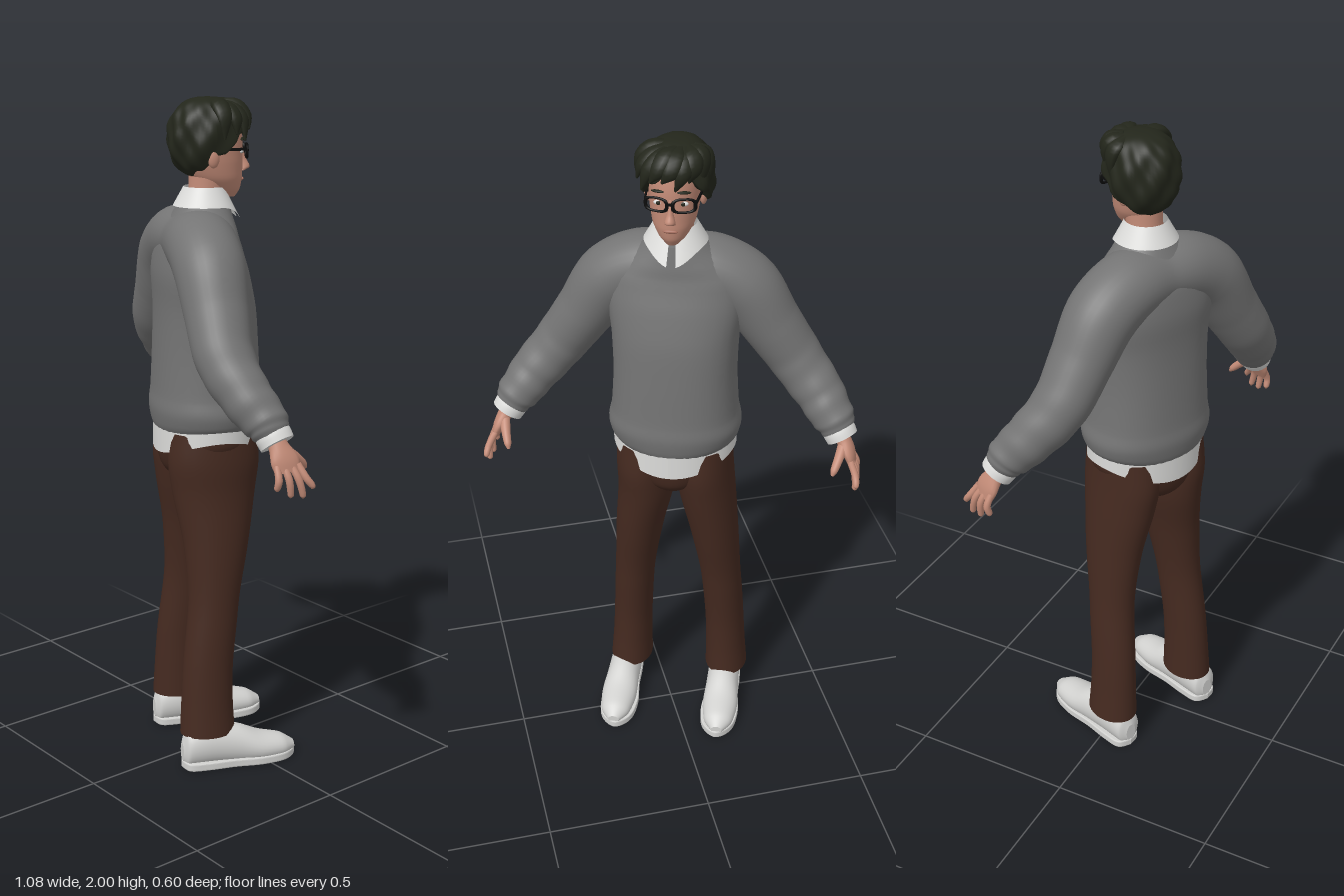
import * as THREE from 'three';

const mat = (name, color, extra = {}) => Object.assign(new THREE.MeshStandardMaterial({ color, ...extra }), { name });
const D = { side: THREE.DoubleSide };

// Smooth body swept along [x, y, z, ru, rw] stations; u follows hint, w is the cross direction.
function sweep(path, { hint = [1, 0, 0], up = null, seg = 24, n = 28, warp = null } = {}) {
  const centre = new THREE.CatmullRomCurve3(path.map(p => new THREE.Vector3(p[0], p[1], p[2])));
  const radius = new THREE.CatmullRomCurve3(path.map(p => new THREE.Vector3(p[3], p[4], 0)));
  const pos = [], idx = [], rings = [];
  for (let i = 0; i <= seg; i++) {
    const c = centre.getPoint(i / seg), r = radius.getPoint(i / seg);
    const t = up ? new THREE.Vector3(...up) : centre.getTangent(i / seg);
    const u = new THREE.Vector3(...hint);
    u.addScaledVector(t, -u.dot(t)).normalize();
    const w = new THREE.Vector3().crossVectors(t, u);
    const ring = [];
    for (let j = 0; j < n; j++) {
      const a = j / n * Math.PI * 2;
      const p = c.clone().addScaledVector(u, r.x * Math.cos(a)).addScaledVector(w, r.y * Math.sin(a));
      if (warp) warp(p, i / seg, c, a);
      ring.push(p);
      pos.push(p.x, p.y, p.z);
    }
    rings.push(ring);
  }
  for (let i = 0; i < seg; i++) for (let j = 0; j < n; j++) {
    const a = i * n + j, b = i * n + (j + 1) % n;
    idx.push(a, b, b + n, a, b + n, a + n);
  }
  // flat end caps on their own vertices
  for (const [ring, first] of [[rings[0], true], [rings[seg], false]]) {
    const base = pos.length / 3, m = new THREE.Vector3();
    ring.forEach(p => { pos.push(p.x, p.y, p.z); m.addScaledVector(p, 1 / n); });
    pos.push(m.x, m.y, m.z);
    for (let j = 0; j < n; j++) {
      const a = base + j, b = base + (j + 1) % n;
      first ? idx.push(base + n, b, a) : idx.push(base + n, a, b);
    }
  }
  const g = new THREE.BufferGeometry();
  g.setAttribute('position', new THREE.Float32BufferAttribute(pos, 3));
  g.setIndex(idx);
  g.computeVertexNormals();
  return g;
}

// Moves every vertex of a geometry by a rule
function reshape(g, rule) {
  const p = g.attributes.position, v = new THREE.Vector3();
  for (let i = 0; i < p.count; i++) { rule(v.fromBufferAttribute(p, i)); p.setXYZ(i, v.x, v.y, v.z); }
  g.computeVertexNormals();
  return g;
}

export function createModel() {
  const M = {
    sweater: mat('grey wool', 0x747474), shirt: mat('white cotton', 0xdcdcda, D),
    trousers: mat('brown cloth', 0x452a20), skin: mat('skin', 0xc48c78),
    hair: mat('dark hair', 0x23261b, D), shoe: mat('pale leather', 0xd2d2d0),
    frame: mat('black frame', 0x0c0c0c), lips: mat('lips', 0xa9705f),
  };
  const model = new THREE.Group(), body = new THREE.Group();
  body.name = 'figure';
  model.add(body);
  // the figure is turned, facing away and to the side
  body.rotation.y = Math.PI - 0.38;
  body.position.set(-0.025, 0, 0.05);
  const add = (name, geo, m, x = 0, y = 0, z = 0, sx = 1, sy = 1, sz = 1) => {
    const mesh = new THREE.Mesh(geo, m);
    mesh.name = name;
    mesh.position.set(x, y, z);
    mesh.scale.set(sx, sy, sz);
    body.add(mesh);
    return mesh;
  };
  const ball = new THREE.SphereGeometry(1, 20, 14);
  const UP = { up: [0, 1, 0] };

  // Sweater body: squarish chest, gathered hem dipping at front and back
  add('sweaterBody', sweep([
    [0, 1.045, 0, .18, .148], [0, 1.065, 0, .193, .158], [0, 1.10, 0, .199, .163], [0, 1.15, 0, .189, .157],
    [0, 1.28, 0, .182, .15], [0, 1.40, -.003, .186, .143], [0, 1.50, -.015, .2, .133], [0, 1.58, -.02, .195, .115],
    [0, 1.63, -.015, .15, .1], [0, 1.665, -.008, .108, .086], [0, 1.695, -.002, .078, .074]],
    { ...UP, seg: 44, n: 40, warp: (p, t, c, a) => {
      const k = .06 * Math.sin(2 * a) ** 2 * Math.sin(Math.PI * t);
      p.addScaledVector(p.clone().sub(c), k);
      p.y -= .018 * Math.sin(a) ** 2 * Math.max(0, 1 - t * 5);
    } }), M.sweater);

  // Both sleeves and the shoulder yoke in one run, with soft folds at the forearms
  const arm = [[.492, 1.125, .046, .05, .05], [.472, 1.155, .032, .064, .063], [.42, 1.22, -.01, .074, .073],
    [.345, 1.31, -.045, .084, .08], [.27, 1.42, -.045, .093, .088], [.19, 1.535, -.042, .103, .1], [.1, 1.583, -.038, .105, .1]];
  add('sleevesAndShoulders', sweep([...arm, [0, 1.59, -.03, .105, .09], ...arm.map(([x, ...r]) => [-x, ...r]).reverse()],
    { hint: [0, 0, 1], seg: 126, n: 32, warp: (p, t, c, a) => {
      const e = Math.min(t, 1 - t), fade = THREE.MathUtils.clamp((.27 - e) * 6, 0, 1);
      const fold = Math.sin(e * 125 + 1.6 * Math.cos(a)) + .6 * Math.sin(e * 71 - 2 * Math.sin(a));
      p.addScaledVector(p.clone().sub(c), .022 * fade * fold);
    } }), M.sweater);

  // Shirt tail hanging lower at front and back
  add('shirtTail', reshape(new THREE.CylinderGeometry(1, 1, 1, 48, 4, true), v => {
    const c = Math.abs(v.z), low = .968 + .052 * (1 - c * c);
    v.y = low + (v.y + .5) * (1.08 - low);
    v.x *= .186; v.z *= .154;
  }), M.shirt);

  // Trousers seat between the legs
  add('trouserSeat', sweep([[0, .865, .0, .03, .05], [0, .885, 0, .07, .1], [0, .92, 0, .12, .133],
    [0, .97, 0, .165, .145], [0, 1.01, 0, .18, .148], [0, 1.05, 0, .18, .147]], { ...UP, n: 36 }), M.trousers);

  // Head and neck
  add('neck', sweep([[0, 1.66, -.005, .056, .056], [0, 1.72, .005, .051, .052], [0, 1.79, .012, .053, .056]], UP), M.skin);
  add('head', sweep([[0, 1.713, .07, .018, .022], [0, 1.735, .056, .04, .05], [0, 1.77, .036, .06, .077],
    [0, 1.82, .022, .07, .092], [0, 1.88, .015, .074, .098], [0, 1.94, .012, .068, .09], [0, 1.975, .01, .04, .05]],
    { ...UP, seg: 32, n: 36 }), M.skin);
  add('nose', sweep([[0, 1.787, .112, .015, .01], [0, 1.797, .12, .015, .017], [0, 1.82, .114, .009, .013],
    [0, 1.86, .106, .006, .008]], { ...UP, n: 16 }), M.skin);
  add('mouth', ball, M.lips, 0, 1.764, .111, .021, .0055, .005);

  // Shirt collar folded over the neckline, open at the front with dropped points
  add('collar', reshape(new THREE.CylinderGeometry(.06, .091, .055, 48, 4, true, .14, Math.PI * 2 - .28), v => {
    const f = Math.max(0, v.z / Math.hypot(v.x, v.z)) ** 4, low = .5 - v.y / .055;
    v.y += 1.718 - f * (.008 + .034 * low);
    v.z += f * .014 * low;
  }), M.shirt);

  // Tousled hair shell: short at the brow, long at the nape
  add('hair', reshape(new THREE.SphereGeometry(1, 72, 40), v => {
    const a = Math.atan2(v.x, v.z), p0 = Math.acos(THREE.MathUtils.clamp(v.y, -1, 1)) / Math.PI;
    const back = (1 - Math.cos(a)) / 2;
    const edge = 1.18 + 1.62 * back ** .85 + .07 * Math.sin(9 * a);
    const p = Math.min(1, p0 / .86) * edge;
    const tuck = p0 > .86 ? 1 - (p0 - .86) * 2.4 : 1;
    const wave = 1 + Math.sin(p) * (.035 * Math.sin(7 * a + 5 * p) + .025 * Math.sin(12 * a - 7 * p));
    const r = Math.sin(p) ** .72 * tuck * wave;
    v.set(.006 + Math.sin(a) * r * .1, 1.882 + Math.cos(p) * .115, .01 + Math.cos(a) * r * .114);
  }), M.hair);
  // Fringe locks swept sideways, uneven at the tips
  for (let k = 0; k < 9; k++) {
    const a = -1.4 + k * .35, s = Math.sin(a), c = Math.cos(a), drop = .014 * Math.sin(k * 2.3), lift = .006 * Math.cos(k * 1.9);
    add('hairLock', sweep([[s * .03 + .02, 1.98, .02 + c * .03, .014, .012], [s * .075 + .01, 1.969 + lift, .014 + c * .085, .028, .017],
      [s * .097, 1.94 + lift, .014 + c * .11, .023, .014], [s * .1 - .022 * c, 1.908 + drop - .025 * Math.abs(s), .012 + c * .112, .003, .003]],
      { hint: [c, 0, -s], seg: 12, n: 10 }), M.hair);
  }

  // Spectacle bridge
  add('glassesBridge', new THREE.BoxGeometry(.014, .006, .006), M.frame, 0, 1.85, .124);

  for (const s of [1, -1]) {
    const side = s > 0 ? 'left' : 'right';
    const m = path => path.map(([x, ...r]) => [x * s, ...r]);

    // Face details and spectacles
    add(side + 'Ear', ball, M.skin, s * .077, 1.832, .005, .011, .03, .018);
    add(side + 'Eye', ball, M.shirt, s * .034, 1.845, .1, .014, .007, .007);
    add(side + 'Iris', ball, M.hair, s * .034, 1.845, .1052, .006, .006, .003);
    const brow = add(side + 'Brow', ball, M.hair, s * .036, 1.879, .104, .02, .004, .006);
    brow.rotation.set(0, s * .35, -s * .08);
    // rounded rectangular rim
    const rim = add(side + 'Rim', reshape(new THREE.TorusGeometry(.024, .004, 8, 32), v => {
      const a = Math.atan2(v.y, v.x), k = 1 + .13 * Math.sin(2 * a) ** 2;
      v.x *= k * 1.28; v.y *= k * .8;
    }), M.frame, s * .038, 1.846, .116);
    rim.rotation.y = s * .25;
    const temple = add(side + 'Temple', new THREE.BoxGeometry(.005, .008, .105), M.frame, s * .074, 1.853, .054);
    temple.rotation.y = -s * .08;

    // Shirt cuff
    add(side + 'Cuff', sweep(m([[.478, 1.143, .036, .048, .046], [.492, 1.12, .047, .052, .049], [.503, 1.102, .054, .05, .047]]),
      { hint: [0, 0, 1], seg: 6 }), M.shirt);

    // Hand: palm, four spread fingers and thumb
    add(side + 'Palm', sweep(m([[.49, 1.125, .047, .025, .022], [.507, 1.095, .056, .029, .022], [.526, 1.06, .067, .041, .018],
      [.537, 1.03, .074, .037, .012]]), { hint: [0, 0, 1], n: 18 }), M.skin);
    [[.982, .138], [.957, .112], [.96, .078], [.98, .04]].forEach(([y, z], k) => {
      const z0 = .102 - .02 * k;
      add(side + 'Finger', sweep(m([[.532, 1.05, z0, .01, .01], [.55, 1.012, (z0 + z) / 2 + .002, .0105, .0105],
        [.554 - k * .003, y + .008, z, .009, .009], [.553 - k * .003, y, z, .003, .003]]), { hint: [0, 0, 1], seg: 12, n: 12 }), M.skin);
    });
    add(side + 'Thumb', sweep(m([[.508, 1.09, .07, .016, .014], [.498, 1.062, .107, .014, .013], [.487, 1.035, .135, .011, .011],
      [.483, 1.022, .144, .004, .004]]), { seg: 14, n: 12 }), M.skin);

    // Trouser leg, the right one standing slightly closer in
    const stance = s > 0 ? 1.03 : .91;
    add(side + 'TrouserLeg', sweep([[.164, .105, -.04, .068, .085], [.16, .2, -.04, .064, .08], [.155, .32, -.035, .062, .077],
      [.143, .5, -.015, .063, .077], [.12, .7, 0, .075, .1], [.097, .85, 0, .087, .126], [.088, .95, 0, .09, .138],
      [.085, 1.04, 0, .088, .13]].map(([x, y, ...r]) => [x * s * (y < .9 ? stance : 1), y, ...r]),
      { ...UP, seg: 40, n: 30 }), M.trousers);

    // Shoe upper and sole
    add(side + 'Shoe', sweep(m([[.165, .05, -.125, .018, .03], [.165, .06, -.11, .042, .058], [.165, .07, -.05, .05, .068],
      [.167, .058, .05, .053, .062], [.169, .042, .12, .057, .047], [.17, .035, .19, .046, .035], [.17, .03, .23, .018, .014]]),
      { up: [0, 0, 1], seg: 32, warp: p => { p.y = Math.max(p.y, .015); } }), M.shoe);
    const outline = new THREE.Shape();
    outline.moveTo(0, -.125);
    outline.splineThru([[.038, -.108], [.047, -.05], [.049, .03], [.058, .12], [.045, .195], [0, .232], [-.045, .195],
      [-.058, .12], [-.049, .03], [-.047, -.05], [-.038, -.108], [0, -.125]].map(q => new THREE.Vector2(...q)));
    const sole = add(side + 'Sole', new THREE.ExtrudeGeometry(outline, { depth: .014, bevelThickness: .005, bevelSize: .003,
      bevelSegments: 3, curveSegments: 40 }), M.shoe, s * .167, .019, 0);
    sole.rotation.x = Math.PI / 2;
  }
  return model;
}
